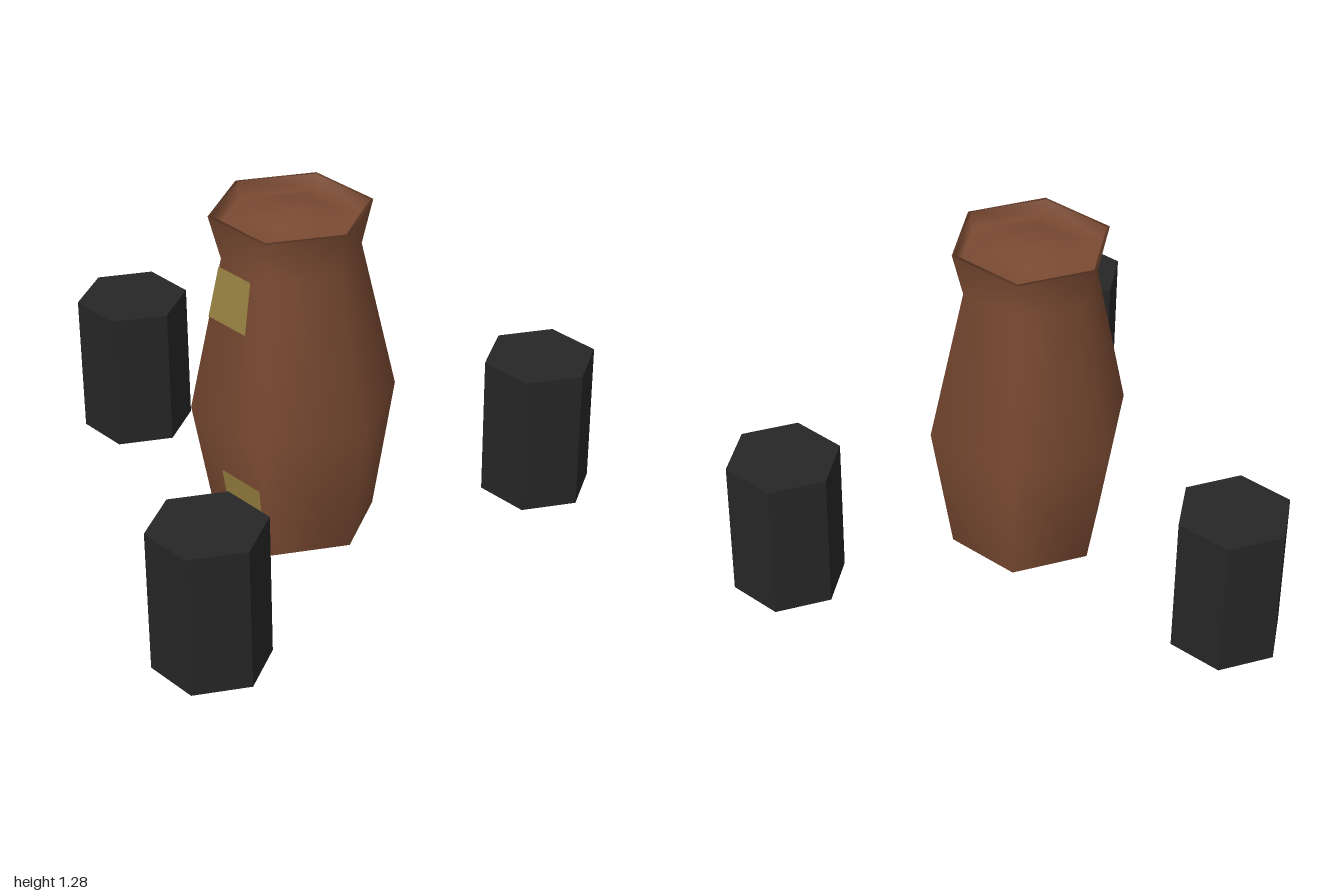
import * as THREE from 'three';

const BODY_X = -0.236;

// outer silhouette of the vessel: [radius, height]
const WALL = [[0.297, 0], [0.382, 0.52], [0.255, 1.115], [0.297, 1.285]];

function radiusAt(y) {
  for (let i = 0; i < WALL.length - 1; i++) {
    const [r0, y0] = WALL[i], [r1, y1] = WALL[i + 1];
    if (y <= y1) return r0 + (r1 - r0) * (y - y0) / (y1 - y0);
  }
  return WALL[WALL.length - 1][0];
}

// thin quad lying on the front-right facet; t runs from its side corner to its front corner
function facetPatch(t0, t1, y0, y1) {
  const lift = 0.004;
  const point = (t, y) => {
    const r = radiusAt(y);
    return [-r + t * r / 2 - lift * 0.866, y, t * r * 0.866 + lift * 0.5];
  };
  const geo = new THREE.BufferGeometry();
  const pos = [point(t0, y0), point(t1, y0), point(t1, y1), point(t0, y1)].flat();
  geo.setAttribute('position', new THREE.Float32BufferAttribute(pos, 3));
  geo.setIndex([0, 1, 2, 0, 2, 3]);
  geo.computeVertexNormals();
  return geo;
}

export function createModel() {
  const brown = new THREE.MeshStandardMaterial({ color: 0x7a4a32 });
  brown.name = 'clay brown';
  const black = new THREE.MeshStandardMaterial({ color: 0x262626, flatShading: true });
  black.name = 'charcoal';
  const yellow = new THREE.MeshStandardMaterial({ color: 0x958040 });
  yellow.name = 'dull yellow';

  const model = new THREE.Group();
  const add = (parent, name, geo, mat, x = 0, y = 0, z = 0) => {
    const mesh = new THREE.Mesh(geo, mat);
    mesh.name = name;
    mesh.position.set(x, y, z);
    parent.add(mesh);
  };

  // six-sided vessel with a narrow lip and a sunken, domed cap at each end
  const vessel = new THREE.Group();
  vessel.name = 'vessel';
  vessel.position.x = BODY_X;
  model.add(vessel);
  const cap = [[0.284, 0], [0.276, 0.06], [0.15, 0.015], [0, 0.002]];
  const profile = [
    ...cap.slice().reverse(),
    ...WALL,
    ...cap.map(([r, d]) => [r, 1.285 - d]),
  ].map(([r, y]) => new THREE.Vector2(r, y));
  add(vessel, 'vesselBody', new THREE.LatheGeometry(profile, 6, Math.PI / 2), brown);

  // painted patches
  add(vessel, 'upperPatch', facetPatch(0, 0.65, 0.89, 1.085), yellow);
  add(vessel, 'lowerPatch', facetPatch(0.33, 0.92, 0.1, 0.3), yellow);

  // three hexagonal posts evenly spaced around the vessel
  const post = new THREE.CylinderGeometry(0.213, 0.213, 0.556, 6);
  post.rotateY(Math.PI / 6);
  for (let i = 0; i < 3; i++) {
    const a = i * Math.PI * 2 / 3;
    add(model, 'post', post, black, BODY_X + 0.941 * Math.cos(a), 0.278, 0.941 * Math.sin(a));
  }
  return model;
}
